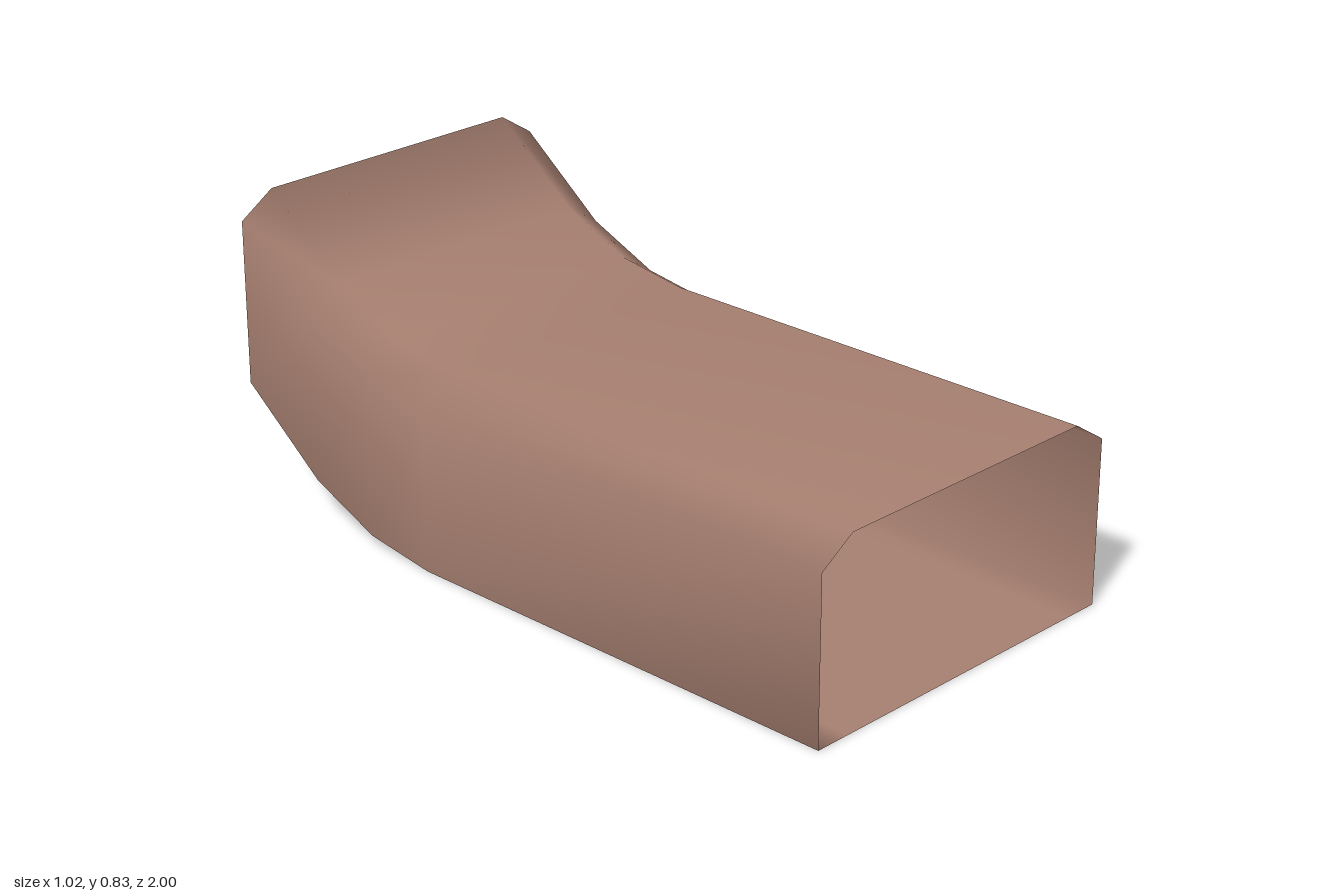
import * as THREE from 'three';

// Cross-section, counter-clockwise: flat floor, upright walls, bevelled roof edges
const half = [[0.41, 0], [0.512, 0], [0.512, 0.45], [0.41, 0.515]];
const section = [...half, ...half.slice().reverse().map(([x, y]) => [-x, y])];

// Path from the open front to the raised, closed back: [z, lift]
const path = [[1, 0], [-0.32, 0], [-0.53, 0.03], [-0.74, 0.12], [-1, 0.32]];

function createShell() {
  const positions = [];
  const index = [];
  const n = section.length;
  const quad = (a, b, c, d) => index.push(a, b, c, a, c, d);

  for (const [z, lift] of path) {
    for (const [x, y] of section) positions.push(x, y + lift, z);
  }

  // Floor, walls and roof
  for (let k = 0; k < path.length - 1; k++) {
    for (let j = 0; j < n; j++) {
      const a = k * n + j;
      const b = k * n + (j + 1) % n;
      quad(a, a + n, b + n, b);
    }
  }

  // Back end, in three upright strips sharing the rim so it shades smoothly
  const e = (path.length - 1) * n;
  quad(e + 3, e + 2, e + 1, e);
  quad(e + 4, e + 3, e, e + 7);
  quad(e + 5, e + 4, e + 7, e + 6);

  const geometry = new THREE.BufferGeometry();
  geometry.setAttribute('position', new THREE.Float32BufferAttribute(positions, 3));
  geometry.setIndex(index);
  geometry.computeVertexNormals();
  return geometry;
}

export function createModel() {
  const group = new THREE.Group();
  group.name = 'upturnedDuct';
  const material = new THREE.MeshStandardMaterial({ color: 0xa67f70, side: THREE.DoubleSide });
  const shell = new THREE.Mesh(createShell(), material);
  shell.name = 'ductShell';
  group.add(shell);
  return group;
}
